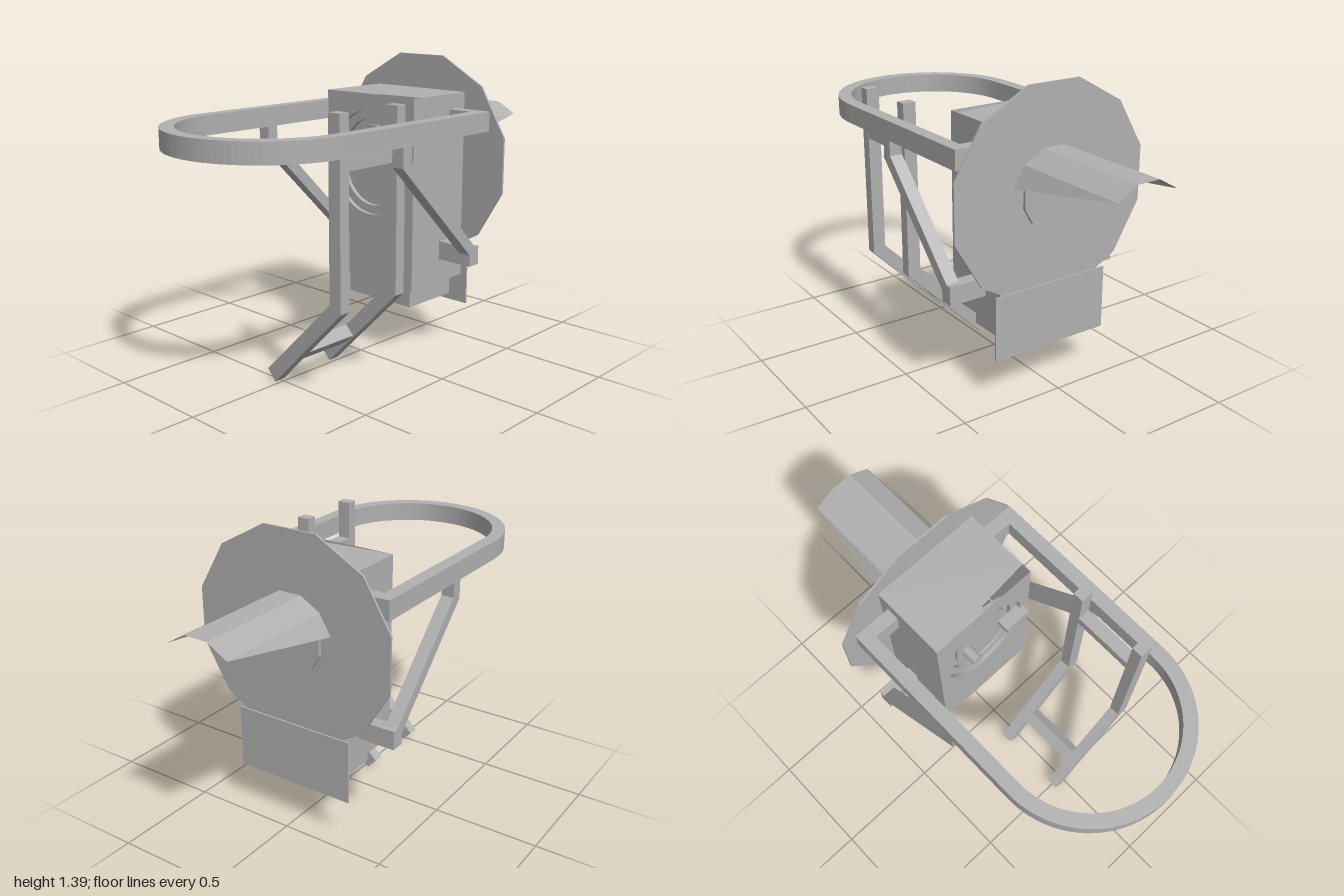
import * as THREE from 'three';

export function createModel() {
  const group = new THREE.Group();
  const grey = new THREE.MeshStandardMaterial({ color: 0xb0b0b0, side: THREE.DoubleSide });
  grey.name = 'plain grey';

  const add = (name, geo, x = 0, y = 0, z = 0) => {
    const m = new THREE.Mesh(geo, grey);
    m.name = name;
    m.position.set(x, y, z);
    group.add(m);
    return m;
  };
  // box given by its limits on each axis
  const block = (name, x0, x1, y0, y1, z0, z1) =>
    add(name, new THREE.BoxGeometry(x1 - x0, y1 - y0, z1 - z0), (x0 + x1) / 2, (y0 + y1) / 2, (z0 + z1) / 2);
  const poly = (pts) => new THREE.Shape(pts.map(([a, b]) => new THREE.Vector2(a, b)));
  const extrude = (shape, depth) =>
    new THREE.ExtrudeGeometry(shape, { depth, bevelEnabled: false, curveSegments: 24 });
  // upright oval: two half circles 0.06 apart around the door centre
  const CY = 0.91;
  const oval = (r, Type = THREE.Shape) => {
    const s = new Type();
    s.absarc(0, CY + 0.03, r, 0, Math.PI, false);
    s.absarc(0, CY - 0.03, r, Math.PI, Math.PI * 2, false);
    s.closePath();
    return s;
  };
  const ovalRing = (outer, inner) => {
    const s = oval(outer);
    s.holes.push(oval(inner, THREE.Path));
    return s;
  };

  // cabinet: sides, floor and back
  const W = 0.267, Y0 = 0.345, Y1 = 1.23, ZF = -0.057, ZB = -0.423;
  const shell = new THREE.BoxGeometry(W * 2, Y1 - Y0, ZF - ZB);
  const idx = Array.from(shell.index.array);
  shell.setIndex(idx.filter((_, i) => !(i >= 12 && i < 18) && !(i >= 24 && i < 30)));
  shell.clearGroups();
  add('cabinetShell', shell, 0, (Y0 + Y1) / 2, (ZF + ZB) / 2);

  // cabinet lid, leaving a narrow wedge open at the front
  const lid = new THREE.ShapeGeometry(poly([[-W, -ZB], [-W, -ZF], [W, 0.105], [W, -ZB]]));
  lid.rotateX(-Math.PI / 2);
  add('cabinetLid', lid, 0, Y1, 0);

  // cabinet front with stepped oval door recess
  const front = poly([[-W, Y0], [W, Y0], [W, Y1], [-W, Y1]]);
  front.holes.push(oval(0.215, THREE.Path));
  add('cabinetFront', new THREE.ShapeGeometry(front, 24), 0, 0, ZF);
  add('recessWall', extrude(ovalRing(0.22, 0.215), 0.02), 0, 0, ZF - 0.021);
  add('recessStep', extrude(ovalRing(0.22, 0.175), 0.02), 0, 0, ZF - 0.041);
  add('recessFloor', extrude(oval(0.18), 0.01), 0, 0, ZF - 0.051);
  add('door', extrude(oval(0.145), 0.016), 0, 0, ZF - 0.041);
  const knob = new THREE.CylinderGeometry(0.027, 0.027, 0.075, 20);
  knob.rotateX(Math.PI / 2);
  add('doorKnob', knob, -0.09, CY, -0.0475);
  block('doorLatch', 0.1, 0.237, 0.895, 0.925, -0.08, -0.018);

  // lower box and back plate
  block('lowerBox', -0.195, 0.195, 0.23, Y0, -0.43, -0.13);
  block('lowerBackPlate', -0.297, 0.297, 0.2, 0.5, -0.438, -0.43);

  // twelve-sided flange and rear hatch, flats at the top
  const disc = (name, r, depth, z) => {
    const pts = [];
    for (let i = 0; i < 12; i++) {
      const a = ((i + 0.5) * Math.PI) / 6;
      pts.push([Math.cos(a) * r, Math.sin(a) * r]);
    }
    return add(name, extrude(poly(pts), depth), 0, CY, z);
  };
  disc('rearFlange', 0.497, 0.01, -0.43).scale.x = 1.03;
  disc('rearHatch', 0.16, 0.017, -0.445);

  // hood: upper part of a twelve-sided tube cut by a sloping plane
  const R = 0.212;
  const rim = [15, 45, 75, 105, 135, 165].map((d) => {
    const a = (d * Math.PI) / 180;
    return [Math.cos(a) * R, CY + Math.sin(a) * R];
  });
  const hoodPos = [];
  const put = (p, z) => hoodPos.push(p[0], p[1], z);
  for (let i = 0; i < 5; i++) {
    const a = rim[i], b = rim[i + 1];
    const za = i === 0 ? -0.43 : -1, zb = i === 4 ? -0.43 : -1;
    if (i < 4) { put(a, -0.43); put(b, -0.43); put(b, zb); }
    if (i === 4) { put(a, -0.43); put(b, -0.43); put(a, za); }
    else if (i > 0) { put(a, -0.43); put(b, zb); put(a, za); }
  }
  // reverse each triangle so the outside faces outwards
  for (let t = 0; t < hoodPos.length; t += 9) {
    const second = hoodPos.slice(t + 3, t + 6);
    for (let k = 0; k < 3; k++) {
      hoodPos[t + 3 + k] = hoodPos[t + 6 + k];
      hoodPos[t + 6 + k] = second[k];
    }
  }
  const hood = new THREE.BufferGeometry();
  hood.setAttribute('position', new THREE.Float32BufferAttribute(hoodPos, 3));
  hood.computeVertexNormals();
  add('rearHood', hood);

  // guard rail: U-shaped loop ending at the cabinet sides
  const rail = new THREE.Shape();
  rail.moveTo(0.26, -0.37);
  rail.lineTo(0.448, -0.37);
  rail.lineTo(0.448, 0.552);
  rail.absarc(0, 0.552, 0.448, 0, Math.PI, false);
  rail.lineTo(-0.448, -0.37);
  rail.lineTo(-0.26, -0.37);
  rail.lineTo(-0.26, -0.308);
  rail.lineTo(-0.386, -0.308);
  rail.lineTo(-0.386, 0.552);
  rail.absarc(0, 0.552, 0.386, Math.PI, 0, true);
  rail.lineTo(0.386, -0.308);
  rail.lineTo(0.26, -0.308);
  const railGeo = extrude(rail, 0.09);
  railGeo.rotateX(Math.PI / 2);
  add('guardRail', railGeo, 0, 1.16, 0);

  // diagonal struts and their brackets on both sides
  const strutShape = poly([
    [0.22, 1.075], [0.22, 0.98], [-0.252, 0.51], [-0.252, 0.457], [-0.315, 0.457],
    [-0.315, 0.545], [-0.288, 0.545], [0.165, 1.0], [0.165, 1.075],
  ]);
  for (const s of [1, -1]) {
    const g = extrude(strutShape, 0.062);
    g.rotateY(-Math.PI / 2);
    add('railStrut', g, s > 0 ? 0.448 : -0.386, 0, 0);
    const xs = [s * 0.26, s * 0.387].sort((a, b) => a - b);
    block('strutBracket', xs[0], xs[1], 0.457, 0.545, -0.315, -0.252);
  }

  // ladder: two bent stiles with two rungs
  const stile = poly([
    [0.325, 1.235], [0.325, 0.44], [-0.068, 0.05], [-0.022, 0], [0.388, 0.413], [0.388, 1.235],
  ]);
  for (const z of [0.14, 0.478]) add('ladderStile', extrude(stile, 0.052), 0, 0, z);
  block('upperRung', 0.326, 0.387, 1.0, 1.052, 0.19, 0.48);
  const rung = block('lowerRung', 0.06, 0.12, 0.133, 0.193, 0.19, 0.48);
  rung.rotation.z = Math.PI / 4;

  return group;
}
